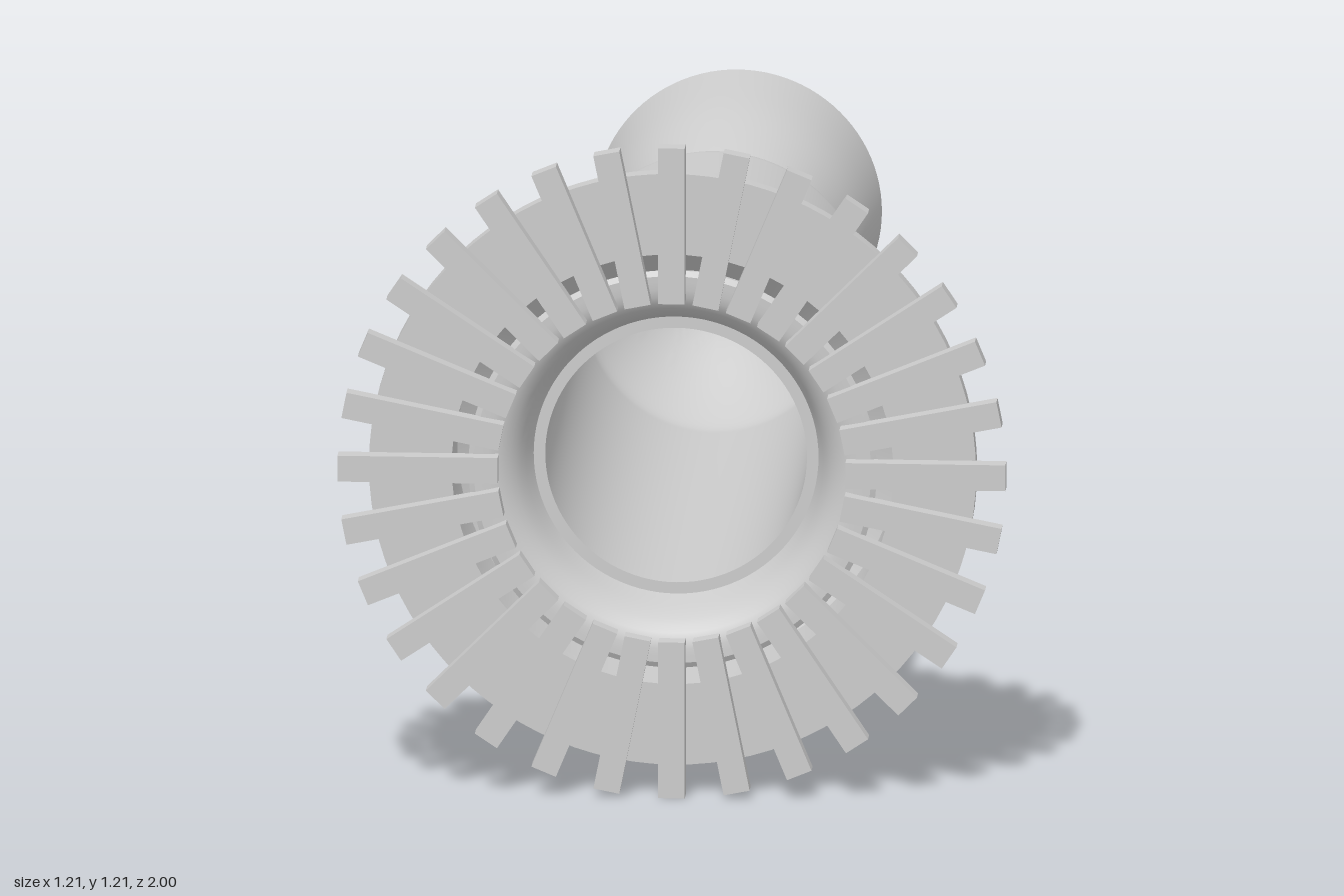
import * as THREE from 'three';
import { toCreasedNormals } from 'three/addons/utils/BufferGeometryUtils.js';

const AXIS_Y = 0.605;
const COUNT = 32;
const metal = new THREE.MeshStandardMaterial({ color: 0xcccccc });

const vectors = (pairs) => pairs.map(([r, z]) => new THREE.Vector2(r, z));
const smooth = (pairs, n) => new THREE.SplineCurve(vectors(pairs)).getPoints(n);

// Revolve (radius, z) points around the z axis
function revolve(name, points) {
  const geometry = new THREE.LatheGeometry(points, 96).rotateX(Math.PI / 2);
  const mesh = new THREE.Mesh(toCreasedNormals(geometry, 0.45), metal);
  mesh.name = name;
  return mesh;
}

// Boxes spread evenly around the axis, reaching from radius r0 to r1 and z0 to z1
function radialBoxes(name, r0, r1, width, z0, z1) {
  const group = new THREE.Group();
  group.name = name + 's';
  const geometry = new THREE.BoxGeometry(r1 - r0, width, z1 - z0);
  geometry.translate((r0 + r1) / 2, 0, (z0 + z1) / 2);
  for (let i = 0; i < COUNT; i++) {
    const box = new THREE.Mesh(geometry, metal);
    box.name = name;
    box.rotation.z = (i / COUNT) * Math.PI * 2;
    group.add(box);
  }
  return group;
}

export function createModel() {
  const model = new THREE.Group();
  model.name = 'thrustChamber';
  const engine = new THREE.Group();
  engine.name = 'engine';
  engine.position.y = AXIS_Y;
  model.add(engine);

  // Outside from nozzle exit to manifold, then back through the bore
  const wall = [
    ...smooth([[0.26, -1], [0.237, -0.83], [0.205, -0.7], [0.167, -0.58], [0.152, -0.535]], 16),
    ...smooth([[0.152, -0.535], [0.152, -0.515], [0.162, -0.49]], 6).slice(1),
    ...smooth([[0.162, -0.49], [0.232, -0.4], [0.262, -0.355], [0.278, -0.31], [0.281, -0.28]], 14).slice(1),
    ...vectors([[0.281, 0.63], [0.413, 0.79], [0.413, 0.945], [0.4, 0.945], [0.4, 0.8], [0.3, 0.68], [0.3, 0.85]]),
    // flared lip at the front of the bore
    ...smooth([[0.3, 0.85], [0.335, 0.925], [0.37, 0.965]], 6).slice(1),
    ...smooth([[0.36, 0.971], [0.315, 0.965], [0.28, 0.93], [0.258, 0.86]], 10),
    ...vectors([[0.237, 0.86], [0.237, -0.26]]),
    ...smooth([[0.237, -0.26], [0.232, -0.3], [0.195, -0.37], [0.13, -0.465], [0.108, -0.51], [0.105, -0.53],
      [0.125, -0.59], [0.163, -0.7], [0.196, -0.83], [0.222, -1]], 36).slice(1),
    // slot between the two skins at the exit
    ...vectors([[0.232, -1], [0.228, -0.97], [0.247, -0.97], [0.25, -1], [0.26, -1]]),
  ];
  engine.add(revolve('chamberAndNozzle', wall));
  engine.add(radialBoxes('exitRib', 0.229, 0.252, 0.018, -0.998, -0.965));

  // Flange ring with small holes
  const ring = new THREE.Shape().absarc(0, 0, 0.55, 0, Math.PI * 2, false);
  ring.holes.push(new THREE.Path().absarc(0, 0, 0.4, 0, Math.PI * 2, true));
  for (let i = 0; i < 8; i++) {
    const a = ((i + 0.5) / 8) * Math.PI * 2;
    ring.holes.push(new THREE.Path().absarc(0.48 * Math.cos(a), 0.48 * Math.sin(a), 0.011, 0, Math.PI * 2, true));
  }
  const flangeGeometry = new THREE.ExtrudeGeometry(ring, { depth: 0.033, bevelEnabled: false, curveSegments: 48 });
  const flange = new THREE.Mesh(toCreasedNormals(flangeGeometry, 0.45), metal);
  flange.name = 'flange';
  flange.position.z = 0.935;
  engine.add(flange);

  // Radial bars across the front face
  engine.add(radialBoxes('radialBar', 0.315, 0.605, 0.048, 0.967, 1));

  return model;
}
